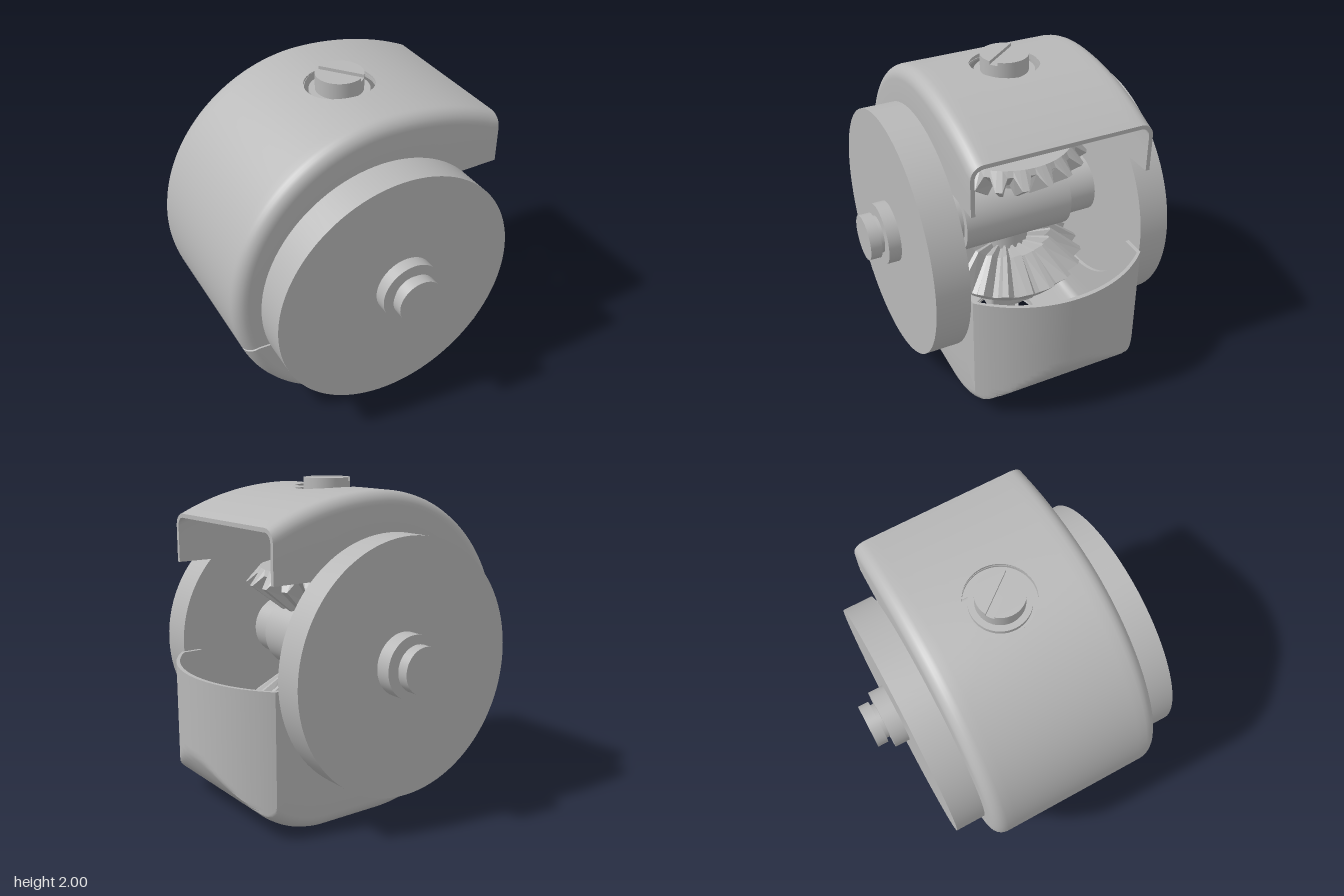
import * as THREE from 'three';
import { toCreasedNormals } from 'three/addons/utils/BufferGeometryUtils.js';
import { RoundedBoxGeometry } from 'three/addons/geometries/RoundedBoxGeometry.js';

const CY = 0.975, R = 0.975;            // axle height and housing radius
const W = 0.555, EDGE = 0.08, T = 0.025; // half width, edge rounding, wall
const OPEN = 0.62, HOLE = 0.21, STEP = 0.035;
const metal = new THREE.MeshStandardMaterial({ color: 0xb8b8b8 });
metal.name = 'grey metal';
const sheet = new THREE.MeshStandardMaterial({ color: 0xb8b8b8, side: THREE.DoubleSide });
sheet.name = 'grey sheet metal';

function part(name, geometry, material = metal) {
  const m = new THREE.Mesh(geometry, material);
  m.name = name;
  return m;
}

// Joins rows of points into a surface; columns wrap round.
function gridGeometry(rows, skip, capPairs) {
  const pos = [], n = rows[0].length;
  const quad = (a, b, c, d) => pos.push(...a, ...b, ...c, ...a, ...c, ...d);
  for (let i = 0; i < rows.length - 1; i++) {
    for (let j = 0; j < n; j++) {
      const k = (j + 1) % n;
      if (!skip || !skip(i, j, k)) quad(rows[i][j], rows[i + 1][j], rows[i + 1][k], rows[i][k]);
    }
  }
  if (capPairs) {
    const a = rows[0], b = rows[rows.length - 1];
    for (let j = 0; j < n / 2 - 1; j++) {
      quad(a[j], a[j + 1], a[n - 2 - j], a[n - 1 - j]);
      quad(b[j], b[n - 1 - j], b[n - 2 - j], b[j + 1]);
    }
  }
  const g = new THREE.BufferGeometry();
  g.setAttribute('position', new THREE.Float32BufferAttribute(pos, 3));
  g.computeVertexNormals();
  return g;
}

// Side outline of one housing half, from the rear slit to the front opening.
function outline(upper) {
  const pts = [], s = upper ? 1 : -1;
  const slit = Math.asin(((upper ? 0.672 : 0.657) - CY) / R) * s;
  const near = Math.acos(0.42 / R);
  for (let i = 0; i < 40; i++) {
    const a = slit + (near - slit) * i / 40;
    pts.push([-R * Math.cos(a), CY + s * R * Math.sin(a)]);
  }
  for (let i = -12; i <= 12; i++) {
    const x = i * STEP;
    pts.push([x, CY + s * (R - drop(x, upper))]);
  }
  if (upper) {
    for (let i = 1; i <= 12; i++) {
      const x = 0.42 + 0.33 * i / 12;
      pts.push([x, CY + R - drop(x, true)]);
    }
  } else {
    for (let i = 1; i <= 40; i++) {
      const x = 0.42 + 0.55 * i / 40;
      pts.push([x, 0.606 - Math.sqrt(0.606 ** 2 - (x - 0.4) ** 2)]);
    }
    for (let i = 1; i <= 10; i++) pts.push([0.97, 0.387 + 0.503 * i / 10]);
  }
  return pts;
}

function drop(x, upper) {
  if (x < 0) return R - Math.sqrt(R * R - x * x);
  return upper ? 1.74 - Math.sqrt(1.74 ** 2 - x * x) : 0;
}

// Inner rim of the side wall, opposite an outline point.
function rim([x, y], upper) {
  if (upper && x >= 0) return [x, Math.max(1.475, CY + Math.sqrt(Math.max(0, OPEN ** 2 - x * x)))];
  let a = Math.atan2(y - CY, x);
  if (x < 0) {
    const mid = upper ? Math.PI / 2 : -Math.PI / 2;
    const off = Math.atan2(Math.sin(a - mid), Math.cos(a - mid));
    a = mid + off * (upper ? 1.104 : 0.832);
  }
  const qy = CY + OPEN * Math.sin(a);
  return [OPEN * Math.cos(a), upper || x < 0 ? qy : Math.min(0.89, qy)];
}

// U-shaped section: z, depth below the outline, share of the way to the rim.
function section() {
  const half = (t) => {
    const c = [[W - t, EDGE, 1], [W - t, EDGE, 0.5]];
    for (let i = 0; i <= 6; i++) {
      const a = i * Math.PI / 12;
      c.push([W - EDGE + (EDGE - t) * Math.cos(a), EDGE - (EDGE - t) * Math.sin(a), 0]);
    }
    const flat = [];
    for (let i = 12; i >= -12; i--) flat.push([i * STEP, t, 0]);
    return [...c, ...flat, ...c.map(([z, d, s]) => [-z, d, s]).reverse()];
  };
  return [half(0), half(T).reverse()];
}

function housingHalf(upper) {
  const pts = outline(upper), [outer, inner] = section();
  const cols = [...outer, ...inner], sg = upper ? 1 : -1;
  const rows = pts.map((p, i) => {
    const a = pts[Math.max(0, i - 1)], b = pts[Math.min(pts.length - 1, i + 1)];
    const len = Math.hypot(b[0] - a[0], b[1] - a[1]);
    let nx = sg * (b[1] - a[1]) / len, ny = -sg * (b[0] - a[0]) / len;
    if (i === pts.length - 1) [nx, ny] = upper ? [0, -1] : [-1, 0];
    const q = rim(p, upper);
    return cols.map(([z0, d, s], j) => {
      let x = p[0] + nx * d, y = p[1] + ny * d, z = z0 * sg;
      x += (q[0] - x) * s;
      y += (q[1] - y) * s;
      // ease the grid into a round hole
      const m = Math.max(Math.abs(p[0]), Math.abs(z));
      if (m >= HOLE - 1e-6 && m < 2 * HOLE) {
        const f0 = m / Math.hypot(p[0], z);
        const f = f0 + (1 - f0) * (m - HOLE) / HOLE;
        y -= sg * (drop(p[0] * f, upper) - drop(p[0], upper));
        x += p[0] * (f - 1);
        z *= f;
      }
      // bowed front of the lower half
      if (!upper) x = Math.min(x, 0.17 + Math.sqrt(0.64 - z * z) - (j < outer.length ? 0 : T));
      return [x, y, z];
    });
  });
  const skip = (i, j, k) => Math.abs(pts[i][0] + pts[i + 1][0]) < 2 * HOLE
    && Math.abs(cols[j][0] + cols[k][0]) < 2 * HOLE && cols[j][2] === 0;
  return toCreasedNormals(gridGeometry(rows, skip, true), 0.6);
}

// Bevel gear with twenty teeth, small end down.
function bevelGear() {
  // root radius, root height, tip radius, tip height
  const rings = [[0, 1.25, 0, 1.25], [0.25, 1.25, 0.3, 1.2], [0.44, 1.42, 0.505, 1.36],
    [0.42, 1.455, 0.42, 1.455], [0, 1.455, 0, 1.455]];
  const rows = rings.map(([rr, ry, tr, ty]) => Array.from({ length: 80 }, (_, k) => {
    const tip = k % 4 > 1, a = (k + (tip ? 0 : 0.15)) / 80 * Math.PI * 2;
    const r = tip ? tr : rr;
    return [r * Math.cos(a), tip ? ty : ry, r * Math.sin(a)];
  }));
  return gridGeometry(rows);
}

function upright(name, r, y0, y1) {
  const m = part(name, new THREE.CylinderGeometry(r, r, y1 - y0, 48));
  m.position.y = (y0 + y1) / 2;
  return m;
}

function along(name, r, z0, z1, x = 0, y = CY) {
  const m = part(name, new THREE.CylinderGeometry(r, r, Math.abs(z1 - z0), 96));
  m.rotation.x = Math.PI / 2;
  m.position.set(x, y, (z0 + z1) / 2);
  return m;
}

// Gear, collar and shaft on the vertical axis.
function gearStack(name) {
  const g = new THREE.Group();
  g.name = name;
  const block = part('collarBlock', new RoundedBoxGeometry(0.16, 0.2, 0.32, 3, 0.02));
  block.position.set(0.12, 1.585, -0.03);
  g.add(part('bevelGear', bevelGear()), upright('collar', 0.19, 1.45, 1.69), block,
    upright('shaft', 0.075, 1.0, 1.9), upright('gearBoss', 0.15, 1.0, 1.26));
  return g;
}

function slottedScrew() {
  const g = new THREE.Group();
  g.name = 'topScrew';
  g.add(upright('screwHead', 0.143, 1.89, 1.98), upright('washer', 0.18, 1.87, 1.9));
  const a = Math.asin(0.025 / 0.143);
  const shape = new THREE.Shape().absarc(0, 0, 0.143, a, Math.PI - a, false);
  for (const turn of [0, Math.PI]) {
    const half = part('screwTop', new THREE.ExtrudeGeometry(shape,
      { depth: 0.02, bevelEnabled: false, curveSegments: 32 }));
    half.rotation.set(-Math.PI / 2, 0, turn - 0.9);
    half.position.y = 1.98;
    g.add(half);
  }
  return g;
}

export function createModel() {
  const model = new THREE.Group();
  model.name = 'gearedWheelUnit';
  model.add(part('upperHousing', housingHalf(true), sheet), part('lowerHousing', housingHalf(false), sheet));

  // rims of the top and bottom holes
  for (const y of [1.91, 0.035]) {
    const ring = part('holeRim', new THREE.CylinderGeometry(HOLE, HOLE, 0.035, 48, 1, true), sheet);
    ring.position.y = y;
    model.add(ring);
  }

  // wheels and stepped axle ends
  for (const [s, face] of [[1, 0.767], [-1, 0.747]]) {
    model.add(along('wheel', 0.775, s * 0.557, s * face, -0.045, 0.935));
    model.add(along('axleGroove', 0.115, s * 0.84, s * 0.875));
    model.add(along('axleEnd', 0.14, s * 0.87, s * 0.94));
  }
  model.add(along('axle', 0.19, -0.845, 0.845), along('hub', 0.235, -0.36, 0.36));

  // mirrored gear stacks above and below the axle
  const lower = gearStack('lowerGearStack');
  lower.rotation.x = Math.PI;
  lower.position.y = 2 * CY;
  model.add(gearStack('upperGearStack'), lower, slottedScrew(), upright('bottomPin', 0.1, 0.04, 0.1));
  return model;
}
